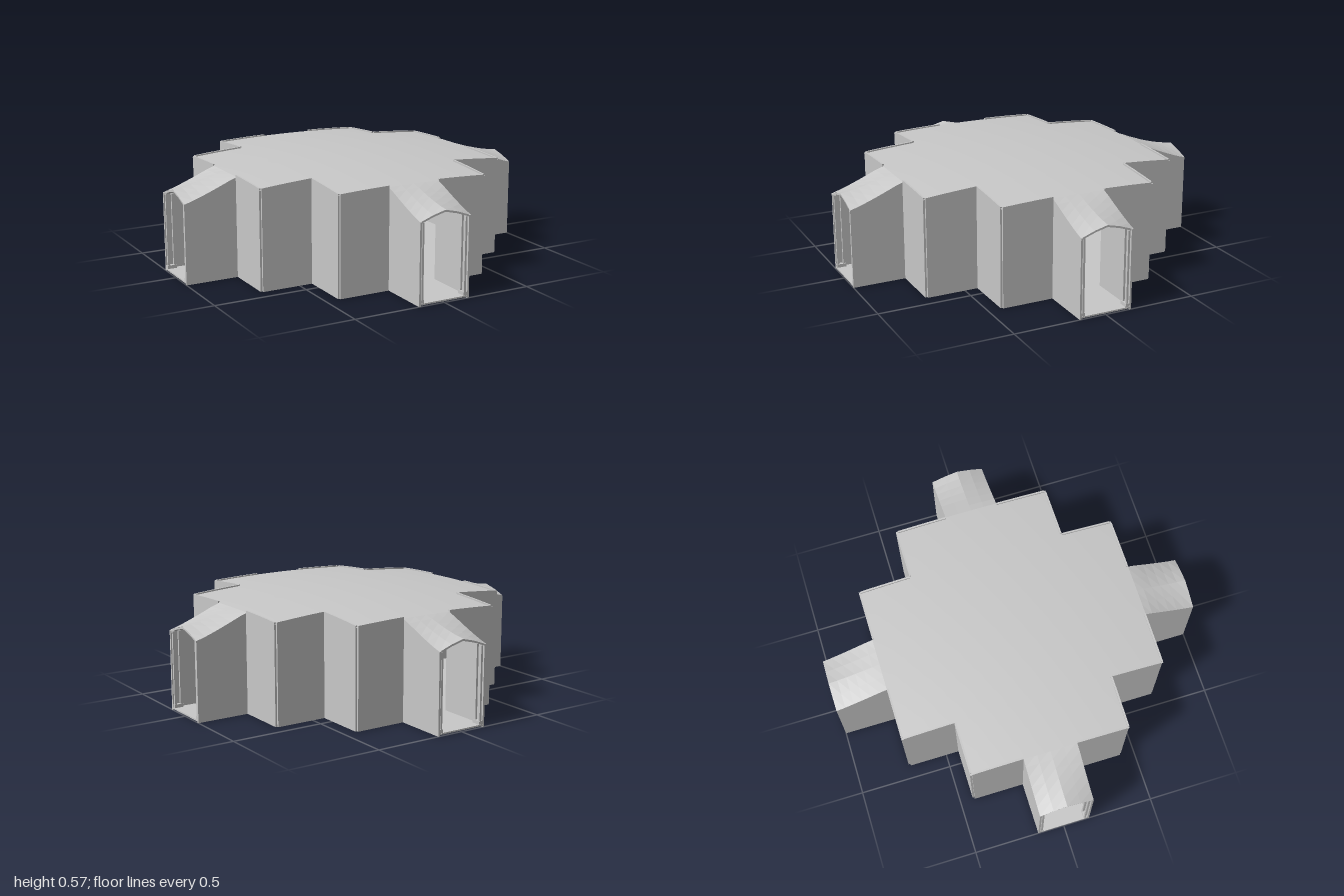
import * as THREE from 'three';
import { mergeGeometries, mergeVertices } from 'three/addons/utils/BufferGeometryUtils.js';

const A = 0.145, B = 0.43, C = 0.715, T = 0.01; // door half-width, step, hall half-size, wall thickness

const domeY = (x, z) => 0.57 - 0.065 * (x * x + z * z);
const rimY = (x, z) => domeY(x, z) + 0.008;

// Height of the sweeping porch roof, peaked across x and rising towards the hall
function porchY(x, z) {
  const s = Math.min(1, Math.max(0, (1 - z) / (1 - C)));
  const ridge = 0.47 + 0.066 * Math.pow(s, 1.4);
  const eave = 0.425 + 0.109 * Math.pow(s, 1.15);
  return ridge + (eave - ridge) * Math.pow(Math.min(1, Math.abs(x) / A), 1.3);
}

// Upward-facing height surface over a rectangle
function heightSheet(x0, x1, z0, z1, nx, nz, f) {
  const g = new THREE.PlaneGeometry(x1 - x0, z1 - z0, nx, nz);
  g.rotateX(-Math.PI / 2).translate((x0 + x1) / 2, 0, (z0 + z1) / 2);
  const p = g.attributes.position;
  for (let i = 0; i < p.count; i++) p.setY(i, f(p.getX(i), p.getZ(i)));
  g.deleteAttribute('uv');
  g.deleteAttribute('normal');
  return g;
}

// Upright slab from u0 to u1 whose top edge follows f(u)
function slab(u0, u1, f) {
  const s = new THREE.Shape();
  s.moveTo(u0, 0);
  s.lineTo(u1, 0);
  for (let i = 8; i >= 0; i--) {
    const u = u0 + (u1 - u0) * i / 8;
    s.lineTo(u, f(u));
  }
  return new THREE.ExtrudeGeometry(s, { depth: T, bevelEnabled: false });
}

export function createModel() {
  const model = new THREE.Group();
  model.name = 'steppedHall';
  const stone = new THREE.MeshStandardMaterial({ color: 0xc8c8c8, side: THREE.DoubleSide });
  stone.name = 'grey stone';
  const add = (parent, name, geo) => {
    const m = new THREE.Mesh(geo, stone);
    m.name = name;
    parent.add(m);
    return m;
  };

  // Shallow domed roof over the stepped plan
  const roof = mergeVertices(mergeGeometries([
    heightSheet(-B, B, -C, C, 12, 20, domeY),
    heightSheet(B, C, -B, B, 4, 12, domeY),
    heightSheet(-C, -B, -B, B, 4, 12, domeY),
  ]));
  roof.computeVertexNormals();
  add(model, 'domedRoof', roof);

  // Floor plate, set slightly above the wall bottoms
  const plan = new THREE.Shape();
  const quarter = [[-A, 1], [A, 1], [A, C], [B, C], [B, B], [C, B], [C, A]];
  const inset = v => Math.sign(v) * (Math.abs(v) - T);
  for (let q = 0; q < 4; q++) {
    for (const [px, pz] of quarter) {
      let x = inset(px), z = pz === 1 ? 1 : inset(pz);
      for (let k = 0; k < q; k++) [x, z] = [z, -x];
      if (q === 0 && px === -A) plan.moveTo(x, z);
      else plan.lineTo(x, z);
    }
  }
  const floor = new THREE.ExtrudeGeometry(plan, { depth: 0.008, bevelEnabled: false });
  floor.rotateX(Math.PI / 2).translate(0, 0.014, 0);
  add(model, 'floor', floor);

  // Four identical sides
  for (let q = 0; q < 4; q++) {
    const side = new THREE.Group();
    side.name = 'side' + (q + 1);
    side.rotation.y = q * Math.PI / 2;
    model.add(side);

    for (const d of [-1, 1]) {
      // Wall beside the porch
      const front = slab(Math.min(d * A, d * (B - T)), Math.max(d * A, d * (B - T)), u => rimY(u, C));
      add(side, 'frontWall', front.translate(0, 0, C - T));

      // Return wall of the step and side wall of the porch
      const place = (g, x) => g.rotateY(-Math.PI / 2).translate(d > 0 ? x : -x + T, 0, 0);
      add(side, 'stepWall', place(slab(B, C - T, u => rimY(B, u)), B));
      add(side, 'porchWall', place(slab(C - T, 1, u => porchY(A, u) - 0.001), A));

      // Door posts with feet
      for (const z of [0.957, 0.99]) {
        add(side, 'doorPost', new THREE.BoxGeometry(0.011, 0.415, 0.012).translate(d * 0.124, 0.2115, z));
      }
      add(side, 'postFoot', new THREE.BoxGeometry(0.022, 0.02, 0.05).translate(d * 0.126, 0.022, 0.973));
    }

    // Faceted porch roof
    const porch = heightSheet(-A, A, C - T, 1, 4, 6, porchY).toNonIndexed();
    porch.computeVertexNormals();
    add(side, 'porchRoof', porch);

    // Peaked lintel under the porch roof
    const arch = new THREE.Shape();
    const xs = [-1, -0.5, 0, 0.5, 1].map(k => k * (A - T));
    xs.forEach((x, i) => {
      const y = porchY(x, 1) - 0.002;
      if (i) arch.lineTo(x, y);
      else arch.moveTo(x, y);
    });
    xs.reverse().forEach(x => arch.lineTo(x, porchY(x, 1) - 0.012));
    const lintel = new THREE.ExtrudeGeometry(arch, { depth: 0.045, bevelEnabled: false });
    add(side, 'lintel', lintel.translate(0, 0, 0.953));
  }
  return model;
}
